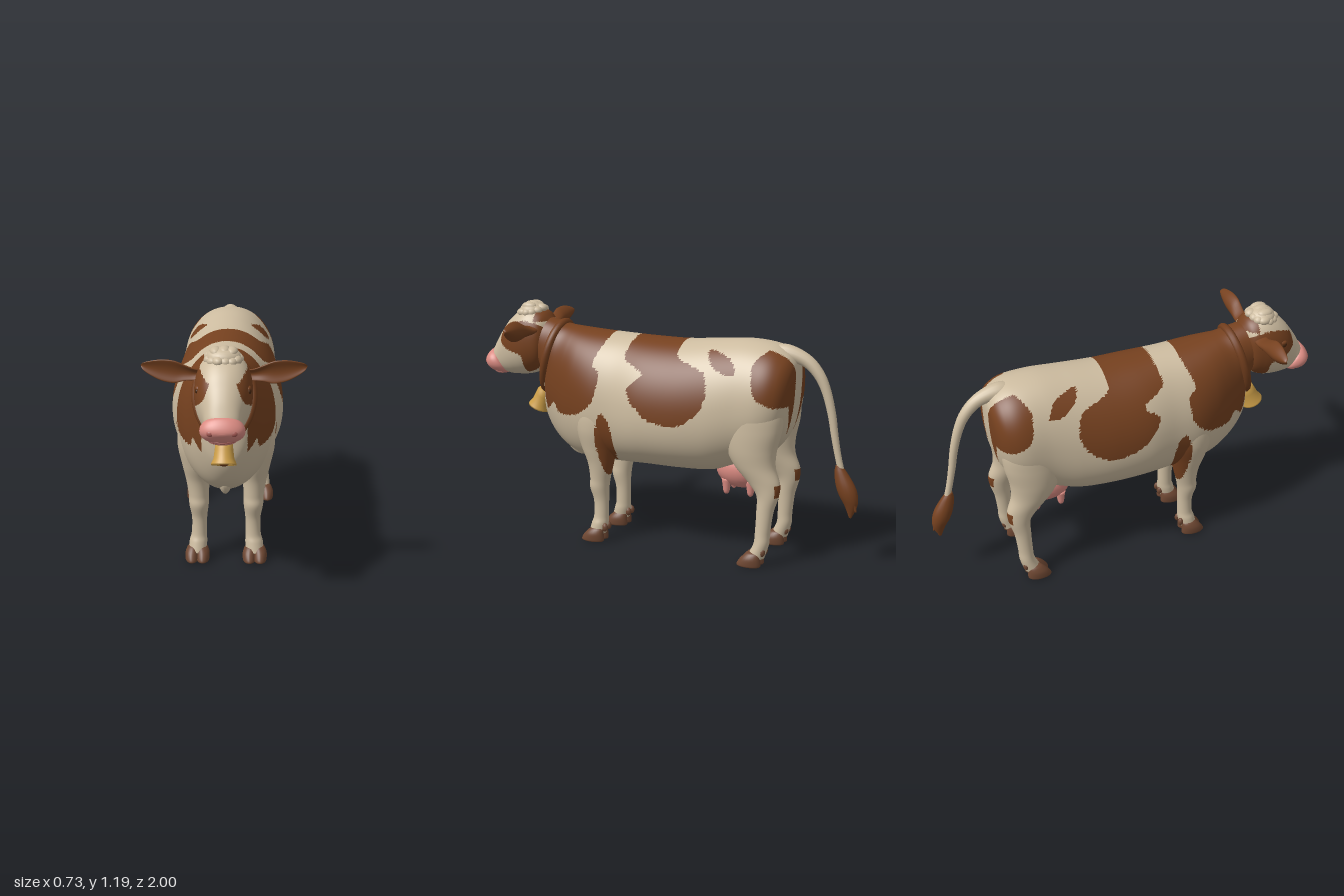
import * as THREE from 'three';

const mat = (name, color) => Object.assign(new THREE.MeshStandardMaterial({ color }), { name });
const cream = mat('cream hide', 0xcdbca0);
const brown = mat('brown hide', 0x76411f);
const pink = mat('pink skin', 0xdb8b82);
const darkPink = mat('dark pink', 0xa85c56);
const hoofMat = mat('hoof horn', 0x6e4732);
const leather = mat('leather', 0x723e1d);
const brass = mat('brass', 0xcc9e48);
const dark = mat('dark eye', 0x46260f);

const V = (a) => new THREE.Vector3(...a);

// Smooth closed patch outline in (z, y), tested with point-in-polygon
function patch(pts) {
  const c = new THREE.CatmullRomCurve3(pts.map(([z, y]) => V([z, y, 0])), true, 'catmullrom', 0.4).getPoints(pts.length * 6);
  return (z, y) => {
    let inside = false;
    for (let i = 0, j = c.length - 1; i < c.length; j = i++) {
      const a = c[i], b = c[j];
      if ((a.y > y) !== (b.y > y) && z < ((b.x - a.x) * (y - a.y)) / (b.y - a.y) + a.x) inside = !inside;
    }
    return inside;
  };
}

const shoulderPatch = patch([[.57, 1.25], [.27, 1.12], [.31, .94], [.27, .89], [.29, .76], [.38, .68], [.51, .66], [.55, .71], [.61, .66], [.72, .66], [.8, .9], [.78, 1.2]]);
const flankPatch = patch([[.1, 1.12], [-.1, 1.12], [-.13, 1], [-.28, .94], [-.305, .83], [-.26, .74], [-.155, .68], [-.02, .7], [.075, .78], [.1, .845], [.03, .91], [.14, .97], [.14, 1.03]]);
const hipPatch = patch([[-.285, 1.04], [-.4, 1.01], [-.44, .945], [-.37, .945], [-.3, .99]]);
const rumpPatch = patch([[-.52, .99], [-.57, 1.05], [-.66, 1.1], [-.78, 1], [-.78, .8], [-.66, .8], [-.61, .81], [-.54, .86]]);
const legPatch = patch([[.245, .7], [.2, .65], [.19, .5], [.235, .37], [.26, .4], [.285, .55], [.27, .65]]);
const cheekPatch = patch([[.8, 1.2], [.85, 1.11], [.885, .995], [.83, .95], [.75, .925], [.74, .84], [.67, .79], [.55, .8], [.55, 1.2]]);

// Colour rules: 0 = cream, 1 = brown
const paintBody = (x, y, z) => {
  const ax = Math.abs(x);
  if (shoulderPatch(z, y)) return y < .8 && z > .45 && ax < .105 ? 0 : 1;
  if (flankPatch(z, y) || (hipPatch(z, y) && ax > .08)) return 1;
  if (rumpPatch(z, y) && ax > .05 + Math.max(0, y - .95) * .4) return 1;
  if (z < -.6 && y > .64 && y < .85 && ax > .05 && ax < .05 + (y - .64) * .4) return 1;
  return legPatch(z, y) && ax > .12 ? 1 : 0;
};
const paintLeg = (x, y, z) => (paintBody(x, y, z) || (z < -.642 && y > .36 && y < .42) ? 1 : 0);
const paintHead = (x, y, z) => {
  const blaze = y > 1.06 ? .068 + (y - 1.06) * .9 : .06;
  if (y > 1.1 && z < .69) return 1;
  return cheekPatch(z, y) && Math.abs(x) > blaze ? 1 : 0;
};

// Skin through cross-sections {c, u, v, k}: ring point = c + u cos (1 + k sin) + v sin
function loft(name, secs, mats, { rows = 24, seg = 24, power = 1, cup = 0, paint = () => 0 } = {}) {
  const curve = (f) => new THREE.CatmullRomCurve3(secs.map((s) => V(f(s))), false, 'catmullrom', 0.5);
  const cc = curve((s) => s.c), cu = curve((s) => s.u), cv = curve((s) => s.v), ck = curve((s) => [s.k ?? 0, 0, 0]);
  const pow = (t) => Math.sign(t) * Math.abs(t) ** power;
  const pts = [], tris = [];
  for (let i = 0; i <= rows; i++) {
    const [c, u, v, k] = [cc, cu, cv, ck].map((q) => q.getPoint(i / rows));
    for (let j = 0; j < seg; j++) {
      const a = (j / seg) * Math.PI * 2, co = Math.cos(a), sn = Math.sin(a);
      pts.push(c.clone().addScaledVector(u, pow(co) * (1 + k.x * sn)).addScaledVector(v, pow(sn) + cup * co * co));
    }
  }
  const first = pts.push(cc.getPoint(0)) - 1, last = pts.push(cc.getPoint(1)) - 1;
  for (let j = 0; j < seg; j++) {
    const k = (j + 1) % seg, e = rows * seg;
    tris.push([first, k, j], [last, e + j, e + k]);
    for (let i = 0; i < rows; i++) {
      const p = i * seg, q = p + seg;
      tris.push([p + j, p + k, q + j], [p + k, q + k, q + j]);
    }
  }
  // Turn faces outward
  let vol = 0;
  for (const [a, b, c] of tris) vol += pts[a].dot(pts[b].clone().cross(pts[c]));
  const lists = mats.map(() => []);
  for (const [a, b, c] of tris) {
    const m = pts[a].clone().add(pts[b]).add(pts[c]).divideScalar(3);
    lists[paint(m.x, m.y, m.z)].push(a, ...(vol < 0 ? [c, b] : [b, c]));
  }
  const geo = new THREE.BufferGeometry().setFromPoints(pts);
  geo.setIndex(lists.flat());
  let start = 0;
  lists.forEach((l, i) => { geo.addGroup(start, l.length, i); start += l.length; });
  geo.computeVertexNormals();
  const mesh = new THREE.Mesh(geo, mats.length > 1 ? mats : mats[0]);
  mesh.name = name;
  return mesh;
}

// Section standing between a top and a bottom point on the centre line
const upright = ([tz, ty, bz, by, w, k]) => ({ c: [0, (ty + by) / 2, (tz + bz) / 2], u: [w, 0, 0], v: [0, (ty - by) / 2, (tz - bz) / 2], k });
// Level section for limbs
const level = (s) => ([y, x, z, rx, rz]) => ({ c: [x * s, y, z], u: [rx, 0, 0], v: [0, 0, rz] });

function ball(name, material, p, r, detail = 20) {
  const m = new THREE.Mesh(new THREE.SphereGeometry(1, detail, detail * .7 | 0), material);
  m.name = name;
  m.position.set(...p);
  m.scale.set(...r);
  return m;
}

export function createModel() {
  const cow = new THREE.Group();
  cow.name = 'cow';
  const hide = [cream, brown];

  // Torso and neck
  cow.add(loft('body', [
    [-.692, .87, -.69, .83, .02], [-.692, .96, -.678, .74, .1], [-.68, 1.005, -.655, .65, .162], [-.645, 1.042, -.61, .575, .208], [-.575, 1.072, -.54, .515, .235],
    [-.45, 1.085, -.42, .468, .24, -.04], [-.3, 1.075, -.28, .425, .257, -.1], [-.12, 1.06, -.12, .417, .272, -.12], [.05, 1.06, .05, .417, .27, -.12],
    [.2, 1.065, .2, .412, .243, -.1], [.32, 1.07, .34, .41, .232, -.04], [.4, 1.075, .47, .43, .203, .06], [.46, 1.08, .58, .5, .165, .14],
    [.51, 1.085, .645, .61, .137, .13], [.56, 1.095, .65, .74, .121, .12], [.62, 1.11, .66, .82, .108], [.68, 1.12, .68, .87, .1],
  ].map(upright), hide, { rows: 190, seg: 150, power: .94, paint: paintBody }));
  cow.add(ball('breastbone', cream, [0, .495, .465], [.035, .085, .09]));

  // Head and muzzle
  cow.add(loft('head', [
    [.62, 1.1, .64, .9, .07], [.66, 1.145, .67, .85, .112], [.73, 1.165, .71, .825, .127], [.795, 1.143, .76, .812, .128],
    [.85, 1.1, .805, .808, .117], [.893, 1.045, .84, .806, .099], [.926, .995, .865, .808, .086], [.95, .95, .89, .818, .078], [.965, .92, .91, .83, .065],
  ].map(upright), hide, { rows: 80, seg: 84, power: .9, paint: paintHead }));
  cow.add(loft('muzzle', [
    [.92, .915, .868, .835, .072], [.935, .934, .876, .815, .09], [.962, .934, .9, .808, .099], [.981, .918, .935, .812, .094],
    [.993, .9, .966, .828, .074], [.999, .884, .985, .848, .045], [1, .872, .996, .862, .012],
  ].map(upright), [pink], { rows: 30, seg: 40, power: .95 }));
  cow.add(ball('lowerLip', pink, [0, .82, .917], [.062, .018, .042]));
  const mouth = new THREE.CatmullRomCurve3([[-.078, .836, .92], [-.05, .825, .945], [0, .821, .957], [.05, .825, .945], [.078, .836, .92]].map(V));
  const mouthMesh = new THREE.Mesh(new THREE.TubeGeometry(mouth, 24, .005, 6), darkPink);
  mouthMesh.name = 'mouth';
  cow.add(mouthMesh);

  // Curly forelock
  const tuft = new THREE.Group();
  tuft.name = 'forelock';
  tuft.add(ball('forelockBase', cream, [0, 1.143, .735], [.08, .046, .068]));
  for (let i = 0; i < 13; i++) {
    const a = (i / 13) * Math.PI * 2, wob = (i * 5) % 3;
    const x = Math.cos(a) * .062, z = .738 + Math.sin(a) * .052;
    tuft.add(ball('curl', cream, [x, 1.154 - Math.abs(x) * .25 - Math.max(0, z - .735) * .35 + wob * .003, z], [.027, .023, .025 + wob * .004], 14));
  }
  for (const x of [-.034, .004, .036]) tuft.add(ball('curl', cream, [x, 1.172 - Math.abs(x) * .1, .738], [.028, .022, .042], 14));
  cow.add(tuft);

  for (const s of [1, -1]) {
    const side = s > 0 ? 'left' : 'right';
    cow.add(ball(side + 'Nostril', darkPink, [s * .05, .872, .984], [.017, .014, .011]));
    cow.add(ball(side + 'Eye', dark, [s * .112, 1.013, .815], [.011, .014, .018]));
    cow.add(ball(side + 'Eyelid', brown, [s * .108, 1.024, .81], [.014, .013, .024]));

    // Cupped leaf-shaped ear
    cow.add(loft(side + 'Ear', [
      [.09, 1.058, .682, .024, .022], [.13, 1.057, .682, .026, .022], [.175, 1.064, .685, .037, .021], [.22, 1.069, .688, .051, .02],
      [.275, 1.076, .688, .048, .018], [.325, 1.084, .69, .032, .013], [.356, 1.09, .692, .016, .008], [.366, 1.092, .693, .003, .002],
    ].map(([x, y, z, h, d]) => ({ c: [x * s, y, z], u: [0, h, 0], v: [0, 0, d] })), [brown], { rows: 28, seg: 28, cup: 1.4 }));

    // Legs
    cow.add(loft(side + 'FrontLeg', [
      [.78, .13, .3, .06, .09], [.7, .14, .3, .088, .125], [.6, .145, .3, .088, .118], [.5, .14, .3, .073, .092], [.42, .137, .295, .058, .068],
      [.34, .133, .3, .049, .053], [.29, .132, .305, .047, .05], [.22, .13, .297, .037, .039], [.14, .132, .297, .037, .038],
      [.1, .136, .303, .043, .043], [.05, .14, .315, .044, .044],
    ].map(level(s)), hide, { rows: 90, seg: 44, paint: paintLeg }));
    cow.add(loft(side + 'HindLeg', [
      [.86, .12, -.52, .07, .1], [.78, .13, -.515, .098, .145], [.68, .14, -.51, .095, .147], [.58, .146, -.51, .085, .125], [.5, .15, -.53, .07, .103],
      [.42, .155, -.58, .052, .079], [.36, .16, -.6, .043, .055], [.28, .165, -.59, .037, .042], [.18, .17, -.582, .036, .037],
      [.12, .173, -.577, .04, .038], [.05, .177, -.55, .043, .044],
    ].map(level(s)), hide, { rows: 90, seg: 44, paint: paintLeg }));

    // Cloven hooves and dewclaws
    for (const [leg, x, z] of [['Front', .14, .32], ['Hind', .177, -.535]]) {
      for (const t of [-1, 1]) {
        const cx = x + t * .026;
        cow.add(loft(side + leg + 'Hoof', [
          [.082, cx - t * .008, z - .012, .016, .024], [.073, cx - t * .004, z - .008, .025, .037], [.05, cx, z + .002, .032, .05],
          [.022, cx, z + .01, .033, .06], [.01, cx, z + .011, .029, .056], [.008, cx, z + .01, .015, .03],
        ].map(level(s)), [hoofMat], { rows: 20, seg: 22 }));
        cow.add(ball(side + leg + 'Dewclaw', hoofMat, [s * (x + t * .02), .085, z - .055], [.014, .022, .016], 10));
      }
    }

    // Teats
    for (const z of [-.35, -.475]) {
      cow.add(loft('teat', [[.39, .05, z, .026, .026], [.355, .052, z, .02, .02], [.325, .053, z, .015, .015], [.312, .053, z, .007, .007]].map(level(s)), [pink], { rows: 10, seg: 14 }));
    }
  }
  cow.add(ball('udder', pink, [0, .44, -.41], [.098, .1, .13], 28));

  // Tail and its brush
  cow.add(loft('tail', [
    [1.01, -.54, .05], [1.028, -.63, .044], [1, -.725, .032], [.94, -.788, .027], [.86, -.828, .023], [.75, -.858, .02], [.65, -.875, .018], [.55, -.895, .016], [.47, -.915, .016],
  ].map(([y, z, r], i) => {
    const a = [.1, .1, .6, .95, 1.2, 1.35, 1.38, 1.37, 1.35][i];
    return { c: [0, y, z], u: [r, 0, 0], v: [0, r * Math.cos(a), -r * Math.sin(a)] };
  }), [cream], { rows: 40, seg: 16 }));
  cow.add(loft('tailBrush', [
    [.505, 0, -.9, .015, .015], [.47, 0, -.912, .025, .032], [.41, 0, -.935, .036, .047], [.36, 0, -.952, .036, .046], [.31, 0, -.966, .024, .031], [.25, 0, -.965, .004, .006],
  ].map(level(1)), [brown], { rows: 24, seg: 18 }));
  cow.add(loft('brushStrand', [
    [.4, 0, -.95, .02, .02], [.33, .006, -.978, .015, .015], [.285, .008, -.993, .004, .005],
  ].map(level(1)), [brown], { rows: 10, seg: 10 }));

  // Collar following the neck
  const ring = [];
  for (let i = 0; i < 32; i++) {
    const a = (i / 32) * Math.PI * 2, sn = Math.sin(a), co = Math.cos(a);
    ring.push(V([.128 * co * (1 + .1 * sn), .917 + sn * .175, .606 - sn * .048]));
  }
  const collar = new THREE.Mesh(new THREE.TubeGeometry(new THREE.CatmullRomCurve3(ring, true), 64, .021, 10, true), leather);
  collar.name = 'collar';
  cow.add(collar);

  // Bell with clapper
  const bell = new THREE.Group();
  bell.name = 'bell';
  const profile = [[0, .115], [.028, .112], [.039, .1], [.042, .07], [.047, .03], [.057, .008], [.057, 0], [.05, .002], [.039, .03], [.032, .09], [0, .1]];
  const shell = new THREE.Mesh(new THREE.LatheGeometry(profile.map((p) => new THREE.Vector2(...p)).reverse(), 32), brass);
  shell.name = 'bellShell';
  bell.add(shell, ball('clapper', leather, [0, .014, 0], [.026, .02, .026], 14));
  bell.position.set(0, .636, .716);
  bell.rotation.x = -.4;
  cow.add(bell);

  return cow;
}
